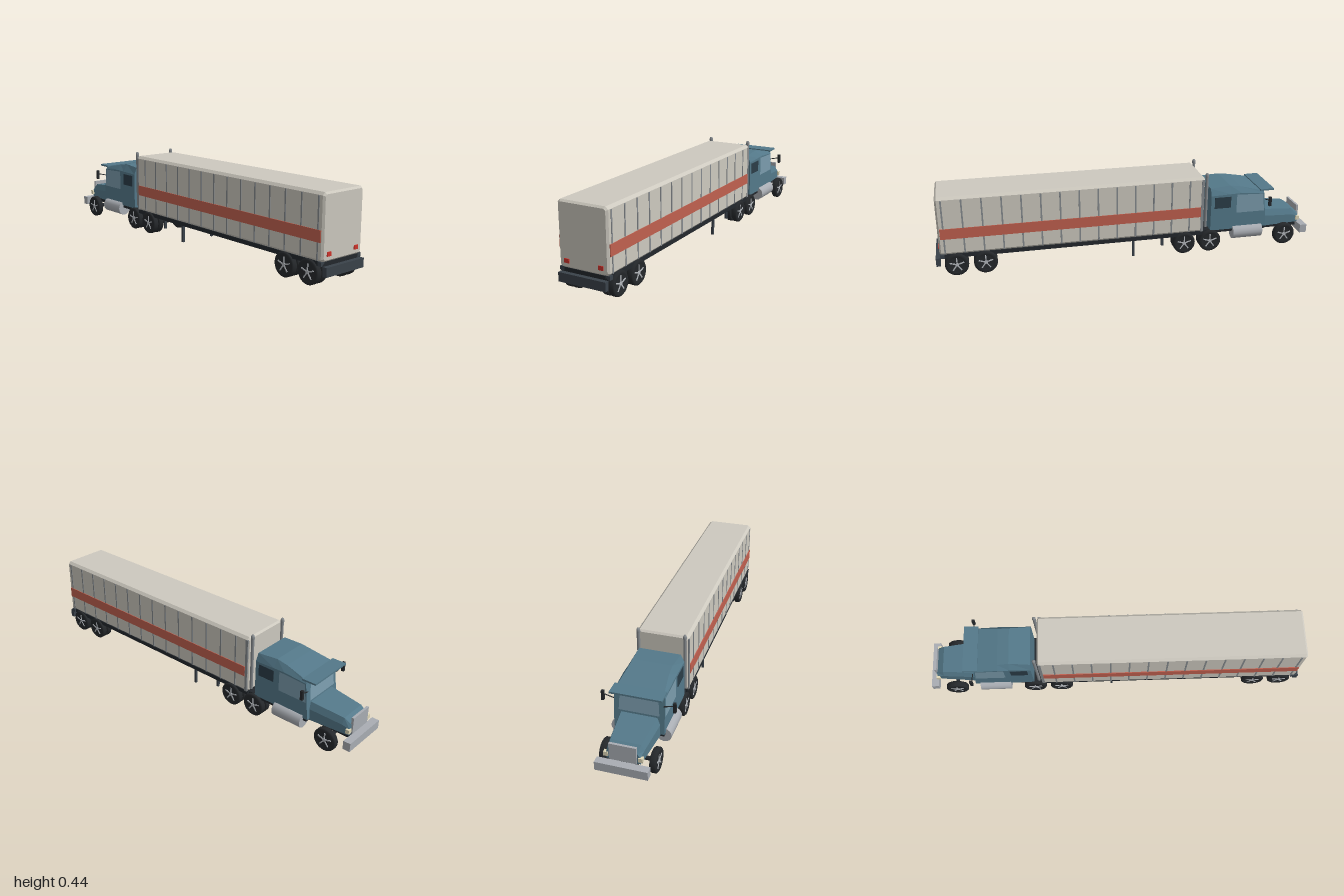
import * as THREE from 'three';

const mat = (color, flatShading = false) => new THREE.MeshStandardMaterial({ color, flatShading });
const M = {
  body: mat(0xcdc9bf, true), rib: mat(0x858a8e), stripe: mat(0xc0604f), paint: mat(0x54798a, true),
  dark: mat(0x3a424a), frame: mat(0x23282d), tyre: mat(0x25282b), metal: mat(0xa9adb3), spoke: mat(0xb4b8bd),
  glass: mat(0x7b9cad), darkGlass: mat(0x2b3d48), red: mat(0xd0342c), lamp: mat(0xe0d8b8),
};
M.glass.side = M.darkGlass.side = THREE.DoubleSide;

export function createModel() {
  const model = new THREE.Group();
  const add = (name, geo, material, x = 0, y = 0, z = 0) => {
    const m = new THREE.Mesh(geo, material);
    m.name = name;
    m.position.set(x, y, z);
    model.add(m);
    return m;
  };
  // box given by its limits on each axis
  const box = (name, material, x0, x1, y0, y1, z0, z1) =>
    add(name, new THREE.BoxGeometry(Math.abs(x1 - x0), y1 - y0, Math.abs(z1 - z0)), material,
      (x0 + x1) / 2, (y0 + y1) / 2, (z0 + z1) / 2);
  const both = (f) => [-1, 1].forEach(f);

  // closed skin through equal-sized rings, ordered from +z to -z, counter-clockwise seen from +z
  const loft = (rings) => {
    const n = rings[0].length, pos = [], idx = [];
    rings.forEach((r) => r.forEach((p) => pos.push(...p)));
    for (let i = 0; i < rings.length - 1; i++) {
      for (let j = 0; j < n; j++) {
        const a = i * n + j, b = i * n + (j + 1) % n;
        idx.push(a, a + n, b, b, a + n, b + n);
      }
    }
    const last = (rings.length - 1) * n;
    for (let j = 1; j < n - 1; j++) idx.push(0, j, j + 1, last, last + j + 1, last + j);
    const g = new THREE.BufferGeometry();
    g.setAttribute('position', new THREE.Float32BufferAttribute(pos, 3));
    g.setIndex(idx);
    const flat = g.toNonIndexed();
    flat.computeVertexNormals();
    return flat;
  };
  // six-sided section: upright sides, sloping shoulders, flat top
  const section = ([zb, zt, y0, w, ys, t, yt]) => {
    const zs = zb + (zt - zb) * (ys - y0) / (yt - y0);
    return [[-w, y0, zb], [w, y0, zb], [w, ys, zs], [t, yt, zt], [-t, yt, zt], [-w, ys, zs]];
  };

  // trailer box with chamfered edges
  const s = new THREE.Shape(), hx = 0.122, lo = 0.125, hi = 0.416, c = 0.008;
  s.moveTo(-hx + c, lo);
  [[hx - c, lo], [hx, lo + c], [hx, hi - c], [hx - c, hi], [-hx + c, hi], [-hx, hi - c], [-hx, lo + c]]
    .forEach(([x, y]) => s.lineTo(x, y));
  s.closePath();
  add('trailerBody', new THREE.ExtrudeGeometry(s, {
    depth: 1.36, bevelEnabled: true, bevelSegments: 1, bevelSize: 0.009, bevelThickness: 0.009,
  }), M.body, 0, 0, -0.39);
  both((k) => {
    for (let i = 0; i < 14; i++) {
      const z = 0.95 - i * 0.0975;
      box('trailerRib', M.rib, k * 0.128, k * 0.133, 0.125, 0.41, z - 0.004, z + 0.004);
    }
    box('sideStripe', M.stripe, k * 0.128, k * 0.135, 0.205, 0.26, -0.38, 0.968);
    box('cornerPost', M.rib, k * 0.125, k * 0.133, 0.12, 0.412, -0.395, -0.381);
    box('tailLight', M.red, k * 0.077, k * 0.103, 0.142, 0.162, 0.97, 0.983);
    box('landingLeg', M.dark, k * 0.094, k * 0.106, 0, 0.1, -0.026, -0.014);
    box('supportLeg', M.dark, k * 0.094, k * 0.106, 0.045, 0.1, -0.185, -0.173);
    box('bumperBracket', M.dark, k * 0.11, k * 0.133, 0.1, 0.12, 0.955, 0.975);
  });
  box('trailerFloor', M.frame, -0.125, 0.125, 0.097, 0.118, -0.395, 0.975);
  box('rearBumper', M.dark, -0.125, 0.125, 0.056, 0.1, 0.978, 1);

  // tractor frame
  box('tractorFrame', M.frame, -0.06, 0.06, 0.075, 0.116, -0.96, -0.25);
  box('cabFloor', M.frame, -0.118, 0.118, 0.1, 0.118, -0.75, -0.4);

  // cab and hood
  add('cab', loft([
    [-0.44, -0.44, 0.115, 0.122, 0.312, 0.105, 0.35],
    [-0.55, -0.55, 0.115, 0.122, 0.316, 0.098, 0.357],
    [-0.61, -0.61, 0.115, 0.122, 0.318, 0.1, 0.348],
    [-0.757, -0.735, 0.115, 0.122, 0.308, 0.115, 0.32],
  ].map(section)), M.paint);
  add('hood', loft([
    [-0.74, -0.74, 0.105, 0.102, 0.165, 0.088, 0.2],
    [-0.925, -0.925, 0.105, 0.085, 0.15, 0.072, 0.182],
    [-0.962, -0.962, 0.105, 0.08, 0.138, 0.066, 0.158],
  ].map(section)), M.paint);
  const visor = box('sunVisor', M.paint, -0.125, 0.125, 0.322, 0.331, -0.79, -0.715);
  visor.rotation.x = 0.02;

  // flat panes: outline points in the pane's plane, mapped to 3D
  const pane = (name, material, pts) => {
    const g = new THREE.BufferGeometry();
    g.setAttribute('position', new THREE.Float32BufferAttribute(pts.flat(), 3));
    g.setIndex([0, 1, 2, 0, 2, 3]);
    g.computeVertexNormals();
    add(name, g, material);
  };
  pane('windshield', M.glass, [[0.098, 0.212, -0.7515], [-0.098, 0.212, -0.7515],
    [-0.092, 0.306, -0.742], [0.092, 0.306, -0.742]]);
  both((k) => {
    const x = k * 0.1235;
    const pts = [[x, 0.207, -0.583], [x, 0.207, -0.742], [x, 0.305, -0.73], [x, 0.311, -0.583]];
    pane('doorWindow', M.glass, k > 0 ? pts : pts.reverse());
    box('sleeperWindow', M.darkGlass, k * 0.12, k * 0.124, 0.24, 0.302, -0.55, -0.46);

    // mirror on its arm
    box('mirror', M.tyre, k * 0.165, k * 0.178, 0.252, 0.302, -0.758, -0.744);
    const arm = add('mirrorArm', new THREE.CylinderGeometry(0.0025, 0.0025, 0.05, 8), M.tyre,
      k * 0.143, 0.276, -0.748);
    arm.rotation.z = -k * 1.32;

    // exhaust stack with a rounded cap
    add('exhaustStack', new THREE.LatheGeometry([[0, 0.14], [0.008, 0.14], [0.008, 0.42], [0.0095, 0.422],
      [0.0095, 0.434], [0.006, 0.443], [0, 0.443]].map((p) => new THREE.Vector2(...p)), 16),
    M.rib, k * 0.117, 0, -0.412);

    // fuel tank
    const tank = add('fuelTank', new THREE.CylinderGeometry(0.038, 0.038, 0.165, 16), M.metal,
      k * 0.11, 0.094, -0.648);
    tank.rotation.x = Math.PI / 2;
    box('headlight', M.lamp, k * 0.07, k * 0.092, 0.118, 0.14, -0.967, -0.948);
  });
  box('grille', M.metal, -0.064, 0.064, 0.108, 0.195, -0.97, -0.958);
  box('frontBumper', M.metal, -0.125, 0.125, 0.055, 0.1, -1, -0.962);

  // wheels
  const R = 0.06, W = 0.016;
  const tyreGeo = new THREE.LatheGeometry([[0, -W * 0.75], [0.04, -W * 0.75], [0.042, -W], [0.054, -W],
    [R, -W * 0.65], [R, W * 0.65], [0.054, W], [0.042, W], [0.04, W * 0.75], [0, W * 0.75]]
    .map((p) => new THREE.Vector2(...p)), 24);
  tyreGeo.rotateZ(-Math.PI / 2);
  const hubGeo = new THREE.CylinderGeometry(0.009, 0.009, 0.004, 12).rotateZ(Math.PI / 2);
  const spokeGeo = new THREE.BoxGeometry(0.003, 0.034, 0.006).translate(0, 0.021, 0);
  const wheel = (k, x, z) => {
    const g = new THREE.Group();
    g.name = 'wheel';
    g.add(new THREE.Mesh(tyreGeo, M.tyre));
    const hub = new THREE.Mesh(hubGeo, M.spoke);
    hub.position.x = k * 0.014;
    g.add(hub);
    for (let i = 0; i < 5; i++) {
      const spoke = new THREE.Mesh(spokeGeo, M.spoke);
      spoke.position.x = k * 0.0135;
      spoke.rotation.x = i * Math.PI * 0.4;
      g.add(spoke);
    }
    g.children.forEach((m, i) => { m.name = ['tyre', 'hub'][i] || 'spoke'; });
    g.position.set(k * x, R, z);
    model.add(g);
  };
  [0.898, 0.754, -0.294, -0.438, -0.866].forEach((z, i) => {
    both((k) => {
      wheel(k, 0.119, z);
      if (i < 4) wheel(k, 0.083, z);
    });
    const axle = add('axle', new THREE.CylinderGeometry(0.01, 0.01, 0.22, 10), M.frame, 0, R, z);
    axle.rotation.z = Math.PI / 2;
  });

  return model;
}
